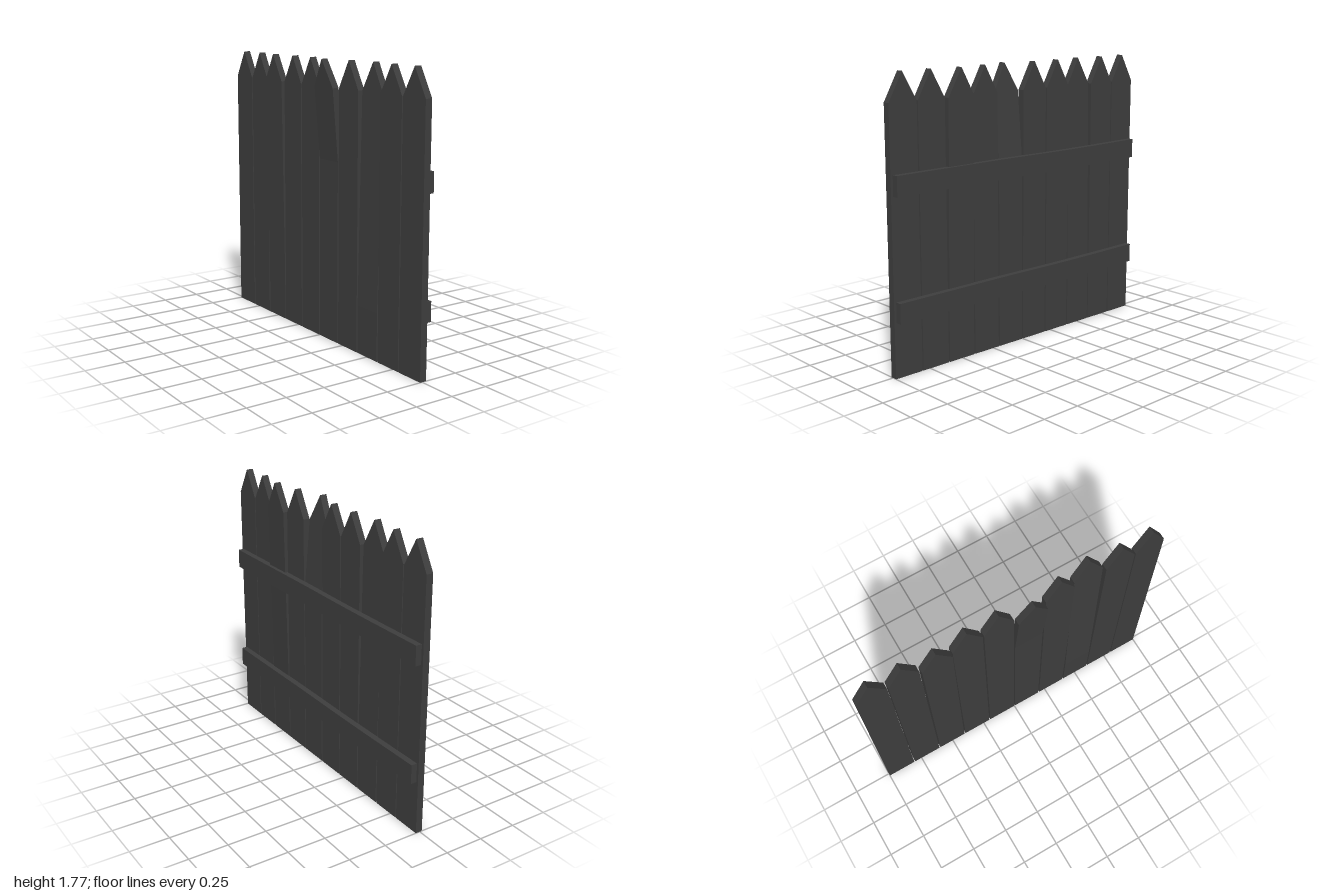
import * as THREE from 'three';

const LEVELS = [0, 0.3, 0.75, 1.15, 1.4, 1.6];
const SHOULDER = 1.6, PEAK = 1.77;
const COUNT = 10, PITCH = 0.2012, WIDTH = 0.192, THICK = 0.044;

// Warped pickets: index -> start height of the bend and sideways shift at the peak
const WARPS = {
  2: { from: 0.3, shift: -0.02 },
  5: { from: 1.15, shift: -0.055 },
  7: { from: 0.3, shift: 0.026 },
};

export function createModel() {
  const fence = new THREE.Group();
  fence.name = 'picketFence';
  const wood = new THREE.MeshStandardMaterial({ color: 0x3d3d3d, flatShading: true });

  // One pointed board; the middle of its top row is raised to the peak
  function picketGeometry(warp) {
    const rows = LEVELS.length - 1;
    const geo = new THREE.BoxGeometry(THICK, rows, WIDTH, 1, rows, 2);
    const pos = geo.attributes.position;
    for (let i = 0; i < pos.count; i++) {
      const row = Math.round(pos.getY(i) + rows / 2);
      const middle = Math.abs(pos.getZ(i)) < 0.01;
      const y = row === rows ? (middle ? PEAK : SHOULDER) : LEVELS[row];
      pos.setY(i, y);
      if (warp) {
        const t = Math.max(0, (y - warp.from) / (PEAK - warp.from));
        pos.setX(i, pos.getX(i) + warp.shift * t);
      }
    }
    geo.computeVertexNormals();
    return geo;
  }

  // Row of pickets
  for (let i = 0; i < COUNT; i++) {
    const picket = new THREE.Mesh(picketGeometry(WARPS[i]), wood);
    picket.name = 'picket' + (i + 1);
    picket.position.set(0.007, 0, (i - (COUNT - 1) / 2) * PITCH);
    // outer boards close the fence exactly at z = -1 and z = 1
    if (i === 0) picket.position.z = -1 + WIDTH / 2;
    if (i === COUNT - 1) picket.position.z = 1 - WIDTH / 2;
    fence.add(picket);
  }

  // Two rails with a slight sag
  for (const [name, y] of [['lowerRail', 0.4], ['upperRail', 1.138]]) {
    const geo = new THREE.BoxGeometry(0.04, 0.123, 1.97, 1, 1, 10);
    const pos = geo.attributes.position;
    for (let i = 0; i < pos.count; i++) {
      const d = (pos.getZ(i) + 0.4) / 0.5;
      pos.setY(i, pos.getY(i) - 0.004 * Math.max(0, 1 - d * d));
    }
    geo.computeVertexNormals();
    const rail = new THREE.Mesh(geo, wood);
    rail.name = name;
    rail.position.set(0.048, y, 0);
    fence.add(rail);
  }

  return fence;
}
